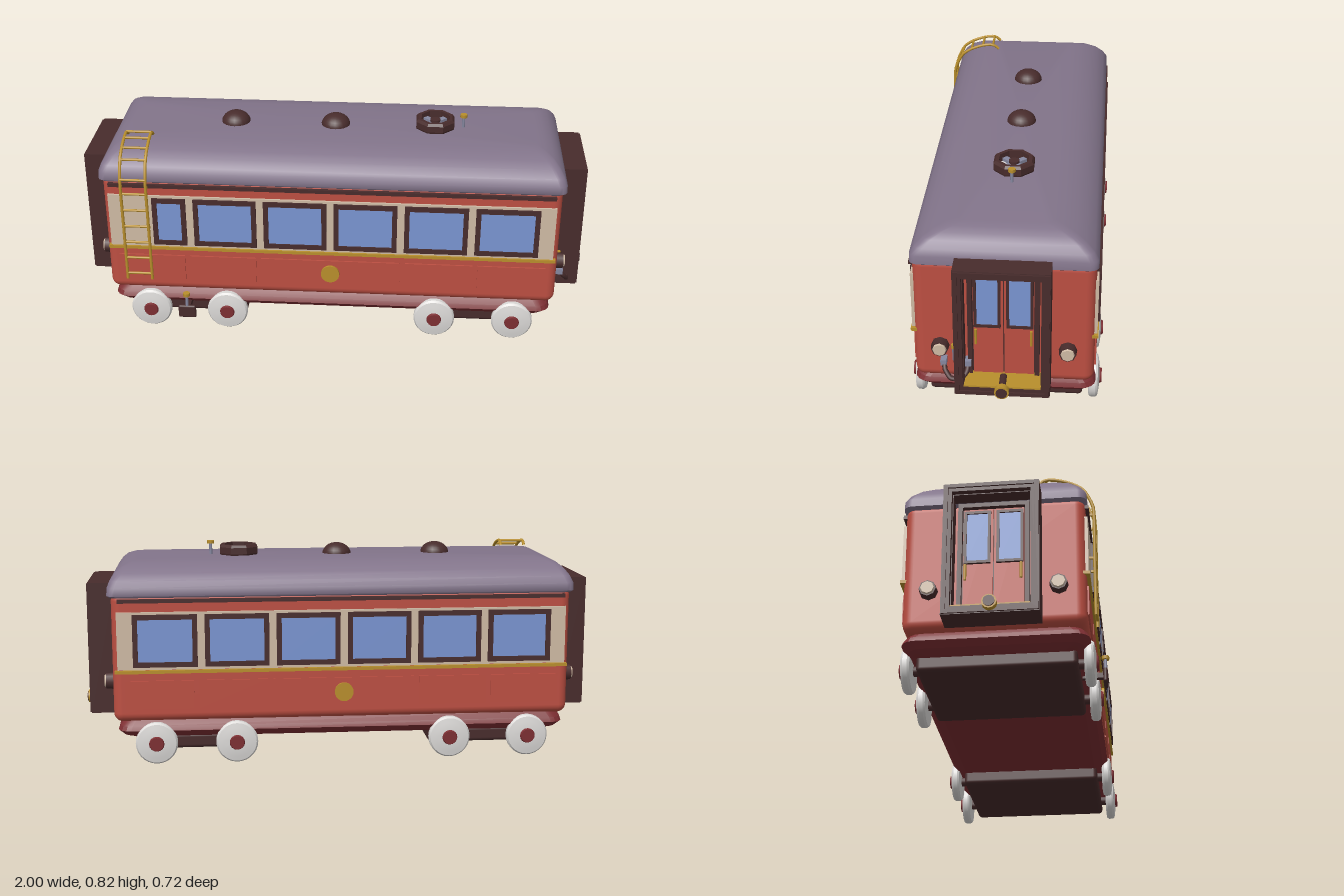
import * as THREE from 'three';
import { toCreasedNormals } from 'three/addons/utils/BufferGeometryUtils.js';
import { RoundedBoxGeometry } from 'three/addons/geometries/RoundedBoxGeometry.js';

const paint = (name, color) => Object.assign(new THREE.MeshStandardMaterial({ color }), { name });
const red = paint('coach red', 0xbd4f42), darkRed = paint('dark red', 0x7d2e32);
const grey = paint('roof grey', 0x82748a), brown = paint('dark brown', 0x482c2c);
const cream = paint('cream', 0xd0bba5), glass = paint('window blue', 0x7a95d2);
const gold = paint('brass', 0xb98f2c), white = paint('wheel white', 0xdcdad8);
const steel = paint('steel', 0x8688a0);

function add(parent, name, geo, mat, x = 0, y = 0, z = 0) {
  const m = new THREE.Mesh(geo, mat);
  m.name = name;
  m.position.set(x, y, z);
  parent.add(m);
  return m;
}
const box = (w, h, d) => new THREE.BoxGeometry(w, h, d);
const cyl = (r, h, n = 12, r2 = r) => new THREE.CylinderGeometry(r2, r, h, n);
const discX = (r, h, n = 12, r2 = r) => cyl(r, h, n, r2).rotateZ(-Math.PI / 2);
const discZ = (r, h, n = 24, r2 = r) => cyl(r, h, n, r2).rotateX(Math.PI / 2);

// Rectangular frame facing +z, starting at z = 0
function frame(w, h, b, depth) {
  const rect = (T, p, q) => new T([[-p, -q], [p, -q], [p, q], [-p, q]].map(a => new THREE.Vector2(...a)));
  const s = rect(THREE.Shape, w / 2, h / 2);
  s.holes.push(rect(THREE.Path, w / 2 - b, h / 2 - b));
  return new THREE.ExtrudeGeometry(s, { depth, bevelEnabled: false });
}
const frameX = (...a) => frame(...a).rotateY(Math.PI / 2);

// Closed solid through rounded rectangles given as [y, half x, half z, corner radius]
function loft(rings, crease = 0.6, seg = 4) {
  const pos = [], idx = [], n = 4 * (seg + 1);
  for (const [y, hx, hz, r] of rings) {
    for (let q = 0; q < 4; q++) for (let s = 0; s <= seg; s++) {
      const a = (q + s / seg) * Math.PI / 2;
      const sx = q === 0 || q === 3 ? 1 : -1, sz = q < 2 ? 1 : -1;
      pos.push(sx * (hx - r) + r * Math.cos(a), y, sz * (hz - r) + r * Math.sin(a));
    }
  }
  const last = (rings.length - 1) * n, c = rings.length * n;
  pos.push(0, rings[0][0], 0, 0, rings[rings.length - 1][0], 0);
  for (let i = 0; i < n; i++) {
    const j = (i + 1) % n;
    for (let k = 0; k < last; k += n) idx.push(k + i, k + n + i, k + j, k + j, k + n + i, k + n + j);
    idx.push(c, i, j, c + 1, last + j, last + i);
  }
  const g = new THREE.BufferGeometry();
  g.setAttribute('position', new THREE.Float32BufferAttribute(pos, 3));
  g.setIndex(idx);
  return toCreasedNormals(g, crease);
}

function tube(points, r, smooth = true) {
  const v = points.map(p => new THREE.Vector3(...p));
  const path = new THREE.CatmullRomCurve3(v, false, 'catmullrom', smooth ? 0.3 : 0);
  return new THREE.TubeGeometry(path, 32, r, 8);
}

// One long side, facing +z
function buildSide(windows) {
  const g = new THREE.Group(), z = 0.318;
  add(g, 'windowBand', box(1.71, 0.22, 0.016), cream, 0, 0.475, z);
  add(g, 'brassStrip', box(1.73, 0.012, 0.024), gold, 0, 0.357, z);
  add(g, 'upperRail', box(1.70, 0.014, 0.024), brown, 0, 0.627, z);
  for (const [x, w] of windows) {
    add(g, 'windowFrame', frame(w, 0.2, 0.019, 0.014), brown, x, 0.476, z + 0.002);
    add(g, 'windowPane', box(w - 0.034, 0.166, 0.006), glass, x, 0.476, z + 0.008);
  }
  for (const [x, w] of [[-0.7, 0.26], [-0.42, 0.26], [0, 0.54], [0.42, 0.26], [0.7, 0.26]])
    add(g, 'lowerPanel', box(w, 0.11, 0.012), red, x, 0.267, z);
  add(g, 'medallion', discZ(0.036, 0.03), gold, 0, 0.267, z);
  return g;
}

// One end, facing +x: gangway, doors, lamps and buffer
function buildEnd() {
  const g = new THREE.Group();
  add(g, 'gangwayShell', frameX(0.334, 0.51, 0.03, 0.1), brown, 0.87, 0.42);
  add(g, 'gangwayLip', frameX(0.304, 0.48, 0.018, 0.014), brown, 0.935, 0.42);
  add(g, 'gangwayRim', frameX(0.328, 0.504, 0.014, 0.008), brown, 0.968, 0.42);
  add(g, 'doorFrame', frameX(0.252, 0.46, 0.016, 0.022), brown, 0.873, 0.41);
  add(g, 'gangwayFloor', box(0.095, 0.008, 0.27), gold, 0.92, 0.197);
  add(g, 'doorGap', box(0.01, 0.425, 0.22), brown, 0.873, 0.408);
  for (const s of [1, -1]) {
    add(g, 'doorLeaf', box(0.02, 0.42, 0.104), red, 0.876, 0.408, s * 0.054);
    add(g, 'doorWindowFrame', frameX(0.094, 0.208, 0.01, 0.01), brown, 0.885, 0.503, s * 0.057);
    add(g, 'doorWindow', box(0.008, 0.19, 0.076), glass, 0.886, 0.503, s * 0.057);
    add(g, 'doorHandle', cyl(0.005, 0.06, 8), gold, 0.898, 0.362, s * 0.097);
    add(g, 'headlampRing', discX(0.033, 0.035, 8, 0.03), brown, 0.888, 0.305, s * 0.225);
    add(g, 'headlampLens', discX(0.026, 0.008, 8, 0.023), cream, 0.908, 0.305, s * 0.225);
  }
  add(g, 'bufferRing', discX(0.026, 0.022), gold, 0.985, 0.195);
  add(g, 'bufferFace', discX(0.02, 0.008), brown, 0.996, 0.195);
  add(g, 'bufferStem', discX(0.014, 0.08), brown, 0.94, 0.195);
  return g;
}

// Wheel with its outer face toward +z
function buildWheel() {
  const g = new THREE.Group();
  const p = [[0, -0.018], [0.06, -0.018], [0.074, -0.016], [0.08, -0.008], [0.08, 0.008], [0.074, 0.016],
    [0.056, 0.019], [0.034, 0.022], [0, 0.022]].map(a => new THREE.Vector2(...a));
  add(g, 'wheelDisc', toCreasedNormals(new THREE.LatheGeometry(p, 28).rotateX(Math.PI / 2), 0.6), white);
  add(g, 'wheelHub', discZ(0.03, 0.01, 16, 0.026), darkRed, 0, 0, 0.025);
  return g;
}

function buildLadder() {
  const g = new THREE.Group(), z0 = 0.345;
  const bend = [[0.225, z0], [0.45, z0], [0.65, z0], [0.73, 0.312], [0.76, 0.27], [0.778, 0.22], [0.783, 0.175], [0.764, 0.15]];
  for (const x of [-0.797, -0.7]) {
    add(g, 'ladderRail', tube(bend.map(([y, z]) => [x, y, z]), 0.006), gold);
    for (const y of [0.45, 0.625]) add(g, 'ladderBracket', box(0.008, 0.008, 0.03), gold, x, y, 0.332);
  }
  const rungs = [0.25, 0.32, 0.39, 0.46, 0.53, 0.6, 0.66].map(y => [y, z0]).concat(bend.slice(3, 7));
  for (const [y, z] of rungs)
    add(g, 'ladderRung', cyl(0.005, 0.097, 8).rotateZ(Math.PI / 2), gold, -0.7485, y, z);
  return g;
}

export function createModel() {
  const root = new THREE.Group();
  root.name = 'railwayCoach';
  const car = new THREE.Group();
  car.name = 'coach';
  car.position.z = -0.02;
  root.add(car);

  // Body, roof and underframe
  add(car, 'body', new RoundedBoxGeometry(1.75, 0.5, 0.636, 4, 0.035), red, 0, 0.41);
  add(car, 'roof', loft([[0.638, 0.88, 0.318, 0.03], [0.645, 0.89, 0.325, 0.03], [0.675, 0.888, 0.324, 0.03],
    [0.7, 0.878, 0.308, 0.03], [0.725, 0.86, 0.28, 0.03], [0.744, 0.838, 0.245, 0.03],
    [0.756, 0.81, 0.205, 0.03], [0.762, 0.78, 0.165, 0.03]], 0.9), grey);
  add(car, 'underframe', loft([[0.093, 0.81, 0.27, 0.05], [0.106, 0.84, 0.305, 0.05], [0.128, 0.86, 0.325, 0.05],
    [0.145, 0.855, 0.318, 0.05], [0.168, 0.84, 0.3, 0.05]], 0.3), darkRed);

  // Sides
  const wide = [-0.675, -0.405, -0.135, 0.135, 0.405, 0.675].map(x => [x, 0.242]);
  const front = buildSide([[-0.62, 0.13], ...wide.slice(1)]);
  front.name = 'frontSide';
  const back = buildSide(wide);
  back.name = 'backSide';
  back.rotation.y = Math.PI;
  car.add(front, back);

  // Ends
  for (const [name, turn] of [['leftEnd', 0], ['rightEnd', Math.PI]]) {
    const end = buildEnd();
    end.name = name;
    end.rotation.y = turn;
    car.add(end);
  }

  // Bogies and wheels
  for (const s of [1, -1]) {
    add(car, 'bogie', new RoundedBoxGeometry(0.46, 0.06, 0.556, 2, 0.015), brown, s * 0.565, 0.075);
    for (const x of [0.41, 0.715]) {
      add(car, 'axle', discZ(0.018, 0.62, 12), brown, s * x, 0.08);
      for (const f of [1, -1]) {
        const w = buildWheel();
        w.name = 'wheel';
        w.position.set(s * x, 0.08, f * 0.317);
        w.rotation.y = f > 0 ? 0 : Math.PI;
        car.add(w);
      }
    }
  }

  // Roof fittings
  for (const x of [-0.395, 0])
    add(car, 'roofDome', new THREE.SphereGeometry(0.057, 20, 8, 0, Math.PI * 2, 0, Math.PI / 2).scale(1, 0.8, 1), brown, x, 0.758);
  const ring = [[0.058, 0], [0.076, 0], [0.08, 0.01], [0.08, 0.034], [0.072, 0.044], [0.058, 0.044], [0.058, 0]]
    .map(a => new THREE.Vector2(...a));
  const fan = add(car, 'fanHousing', toCreasedNormals(new THREE.LatheGeometry(ring, 8), 0.3), brown, 0.39, 0.758);
  fan.rotation.y = Math.PI / 8;
  add(car, 'fanPlate', cyl(0.06, 0.012, 16), white, 0.39, 0.766);
  for (const a of [Math.PI / 4, -Math.PI / 4])
    add(car, 'fanBlade', box(0.114, 0.012, 0.022), steel, 0.39, 0.778).rotation.y = a;
  add(car, 'fanHub', cyl(0.02, 0.025, 12), brown, 0.39, 0.78);
  add(car, 'roofPinPost', cyl(0.006, 0.05, 8), steel, 0.5, 0.782);
  add(car, 'roofPinCap', cyl(0.014, 0.012, 8), gold, 0.5, 0.81);

  const ladder = buildLadder();
  ladder.name = 'ladder';
  car.add(ladder);

  // Brake hose and lever on the left end
  add(car, 'brakeHose', tube([[0.9, 0.245, 0.21], [0.915, 0.225, 0.205], [0.93, 0.202, 0.185],
    [0.93, 0.2, 0.15], [0.915, 0.22, 0.13], [0.895, 0.245, 0.125]], 0.009), brown);
  for (const z of [0.212, 0.125]) add(car, 'hoseCoupling', box(0.04, 0.022, 0.022), steel, 0.89, 0.25, z);
  add(car, 'endLever', cyl(0.007, 0.055, 8), steel, 0.89, 0.28, 0.175);
  add(car, 'endLeverKnob', cyl(0.011, 0.014, 8), gold, 0.89, 0.311, 0.175);

  // Brake lever beside the front wheels
  add(car, 'brakeLeverBox', new RoundedBoxGeometry(0.07, 0.055, 0.016, 2, 0.007), brown, -0.565, 0.093, 0.363);
  add(car, 'brakeLeverArm', box(0.02, 0.02, 0.08), brown, -0.565, 0.1, 0.32);
  add(car, 'brakeLeverRod', cyl(0.006, 0.05, 8), steel, -0.565, 0.142, 0.363);
  add(car, 'brakeLeverKnob', cyl(0.014, 0.013, 8), gold, -0.565, 0.17, 0.363);
  return root;
}
